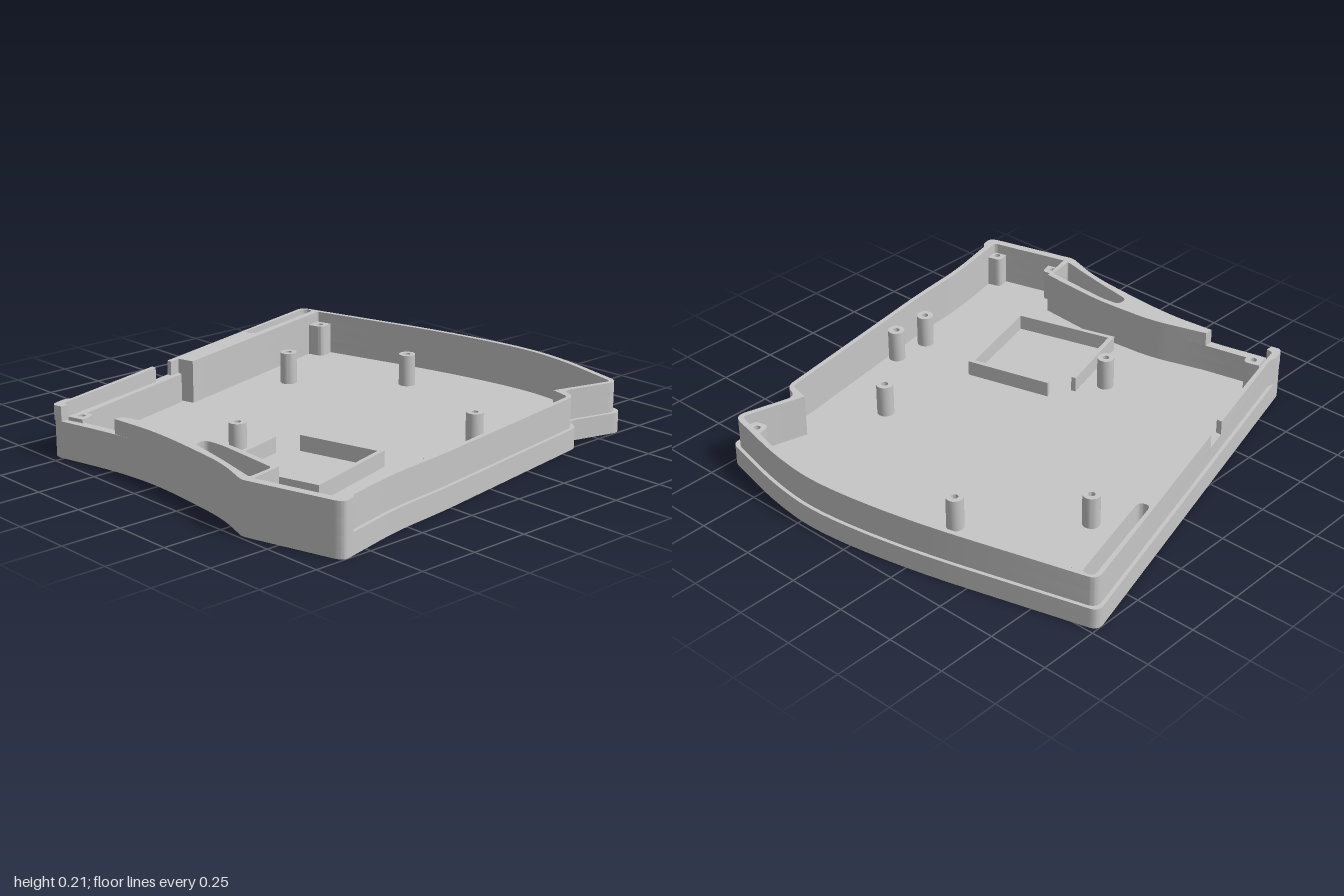
import * as THREE from 'three';
import { toCreasedNormals } from 'three/addons/utils/BufferGeometryUtils.js';

const plastic = new THREE.MeshStandardMaterial({ color: 0xc6c6c6 });
plastic.name = 'grey plastic';

// Plan outlines are lists of [x, z, cornerRadius, stepInset], clockwise from the back corner at -x
const OUTER = [
  [-0.972, -0.554, 0.05, 0], [-0.9, -0.573, 0, 0], [-0.87, -0.581, 0, 0.015],
  [0.725, -1.007, 0.04, 0.015], [0.925, -0.26, 0.25, 0.015],
  [0.99, 0.16, 0.2, 0.015], [0.967, 0.41, 0.12, 0.015], [0.885, 0.755, 0.05, 0.015],
  [0.625, 0.685, 0.04, 0.015], [0.6, 0.76, 0.04, 0.015], [-0.285, 0.9, 0.1, 0.015],
  [-0.56, 0.93, 0.1, 0.015], [-0.8, 0.986, 0, 0.015], [-0.825, 0.992, 0, 0],
  [-0.88, 1.005, 0.05, 0], [-0.987, 0.6, 0.02, 0],
  [-0.925, 0.42, 0.12, 0], [-0.882, 0.0, 0.2, 0], [-0.903, -0.24, 0.1, 0],
];
// Inner wall from the thick back block round to the side opening
const INNER = [
  [-0.22, -0.715, 0], [-0.2, -0.645, 0], [0.72, -0.887, 0.01], [0.89, -0.255, 0.25],
  [0.953, 0.16, 0.2], [0.932, 0.4, 0.12], [0.855, 0.71, 0.02], [0.593, 0.638, 0],
  [0.57, 0.73, 0.02], [-0.29, 0.865, 0.1], [-0.56, 0.893, 0.1], [-0.857, 0.957, 0.02],
  [-0.945, 0.62, 0], [-0.8, 0.585, 0], [-0.775, 0.28, 0.1], [-0.795, 0, 0.08], [-0.865, -0.24, 0],
];
const LEDGE = [...INNER, [-0.92, -0.5, 0], [-0.225, -0.69, 0]];
const SIDE_SLOT = [
  [-0.863, 0.19, 0.03, 0.008], [-0.808, 0.19, 0.03, 0.008], [-0.801, 0.28, 0.03, 0.008],
  [-0.826, 0.577, 0.02, 0.008], [-0.947, 0.597, 0.015, 0.008], [-0.897, 0.38, 0.08, 0.008],
];
const BACK_SLOT = [
  [0.25, -0.849, 0.03, 0.008], [0.707, -0.966, 0.03, 0.008],
  [0.72, -0.918, 0.03, 0.008], [0.263, -0.801, 0.03, 0.008],
];

// Moves each corner inwards by its own step, along the mitre
function stepIn(pts) {
  const n = pts.length;
  const normal = (a, b) => new THREE.Vector2(a[1] - b[1], b[0] - a[0]).normalize();
  return pts.map((p, i) => {
    const n1 = normal(pts[(i + n - 1) % n], p), n2 = normal(p, pts[(i + 1) % n]);
    const k = p[3] / (1 + n1.dot(n2));
    return [p[0] + (n1.x + n2.x) * k, p[1] + (n1.y + n2.y) * k, p[2]];
  });
}

// Closed counter-clockwise path with rounded corners
function rounded(pts, Type = THREE.Path) {
  const path = new Type(), n = pts.length;
  const v = pts.map((p) => ({ p: new THREE.Vector2(p[0], -p[1]), r: p[2] }));
  if (THREE.ShapeUtils.isClockWise(v.map((c) => c.p))) v.reverse();
  v.forEach(({ p, r }, i) => {
    const toward = (q) => {
      const d = p.distanceTo(q);
      return p.clone().lerp(q, Math.min(r, d * 0.48) / d);
    };
    const a = toward(v[(i + n - 1) % n].p), b = toward(v[(i + 1) % n].p);
    if (i === 0) path.moveTo(a.x, a.y); else path.lineTo(a.x, a.y);
    if (r > 0) path.quadraticCurveTo(p.x, p.y, b.x, b.y);
  });
  path.closePath();
  return path;
}

function circle(x, z, r, Type = THREE.Path) {
  const path = new Type();
  path.absarc(x, -z, r, 0, Math.PI * 2, false);
  return path;
}

export function createModel() {
  const model = new THREE.Group();
  model.name = 'caseBottom';

  // Extrudes a plan shape between two heights
  function slab(name, shape, holes, y0, y1) {
    shape.holes.push(...holes);
    let geo = new THREE.ExtrudeGeometry(shape, { depth: y1 - y0, bevelEnabled: false, curveSegments: 10 });
    geo.rotateX(-Math.PI / 2);
    geo.translate(0, y0, 0);
    geo = toCreasedNormals(geo, 0.5);
    const mesh = new THREE.Mesh(geo, plastic);
    mesh.name = name;
    model.add(mesh);
  }
  const plan = (pts) => rounded(pts, THREE.Shape);
  const slots = () => [rounded(SIDE_SLOT), rounded(BACK_SLOT)];
  const narrowSlots = () => [rounded(stepIn(SIDE_SLOT)), rounded(stepIn(BACK_SLOT))];
  const UPPER = stepIn(OUTER);

  // Floor with round foot recesses underneath
  const feet = [[0.69, -0.82], [-0.855, -0.475], [0.81, 0.65], [-0.84, 0.925]];
  const recesses = feet.map(([x, z]) => circle(x, z, 0.042));
  slab('floorUnderside', plan(OUTER), [...narrowSlots(), ...recesses], 0, 0.015);
  slab('floor', plan(OUTER), narrowSlots(), 0.015, 0.03);

  // Wall: wide lower band, then the stepped-in upper band
  slab('lowerWall', plan(OUTER), [rounded(LEDGE), ...slots()], 0.03, 0.085);
  slab('upperWall', plan(UPPER), [rounded(LEDGE), ...slots()], 0.085, 0.15);

  // Rim, broken by the back notch and the side opening
  const onBack = (x) => {
    const a = UPPER[2], b = UPPER[3];
    return [x, a[1] + (b[1] - a[1]) * (x - a[0]) / (b[0] - a[0]), 0];
  };
  const behind = (x) => [x, onBack(x)[1] + 0.024, 0];
  const outerRun = UPPER.slice(3, -1);
  const [gapX, gapZ] = UPPER[UPPER.length - 1];
  slab('rim', plan([onBack(-0.27), ...outerRun, [gapX, gapZ, 0], ...INNER.slice().reverse(), behind(-0.27)]),
    slots(), 0.15, 0.21);
  slab('cornerRim', plan([[-0.961, -0.505, 0], ...UPPER.slice(0, 3), onBack(-0.37), behind(-0.37),
    [-0.925, -0.535, 0.01], [-0.93, -0.505, 0]]), [], 0.15, 0.21);

  // Free-standing screw posts
  const posts = [[0.29, -0.6], [0.643, -0.233], [-0.493, -0.008], [0.265, 0.523], [-0.24, 0.792], [-0.07, 0.795]];
  for (const [x, z] of posts) {
    slab('screwPost', circle(x, z, 0.035, THREE.Shape), [circle(x, z, 0.014)], 0.03, 0.165);
  }

  // Corner screw posts, square blocks tucked against the walls
  const corners = [
    [0.69, -0.84, 1, -1], [-0.888, -0.472, -1, -1], [0.826, 0.662, 1, 1],
    [-0.842, 0.928, -1, 1], [-0.91, 0.654, -1, -1],
  ];
  const c = Math.cos(0.262), s = Math.sin(0.262);
  for (const [x, z, sx, sz] of corners) {
    const at = (a, b, r) => [x + a * sx * c + b * sz * s, z - a * sx * s + b * sz * c, r];
    const block = [at(-0.034, -0.034, 0.025), at(0.037, -0.034, 0), at(0.037, 0.037, 0), at(-0.034, 0.037, 0)];
    slab('cornerPost', plan(block), [circle(x, z, 0.014)], 0.03, 0.165);
  }

  // Low open frame on the floor that holds the circuit board
  const frame = [[-0.38, 0.064], [-0.725, 0.156], [-0.608, 0.578], [-0.185, 0.465], [-0.273, 0.125]];
  for (let i = 0; i < 4; i++) {
    const [ax, az] = frame[i], [bx, bz] = frame[i + 1];
    const len = Math.hypot(bx - ax, bz - az);
    const bar = new THREE.Mesh(new THREE.BoxGeometry(len + 0.02, 0.07, 0.02), plastic);
    bar.name = 'boardFrame';
    bar.position.set((ax + bx) / 2, 0.06, (az + bz) / 2);
    bar.rotation.y = -Math.atan2(bz - az, bx - ax);
    model.add(bar);
  }
  return model;
}
